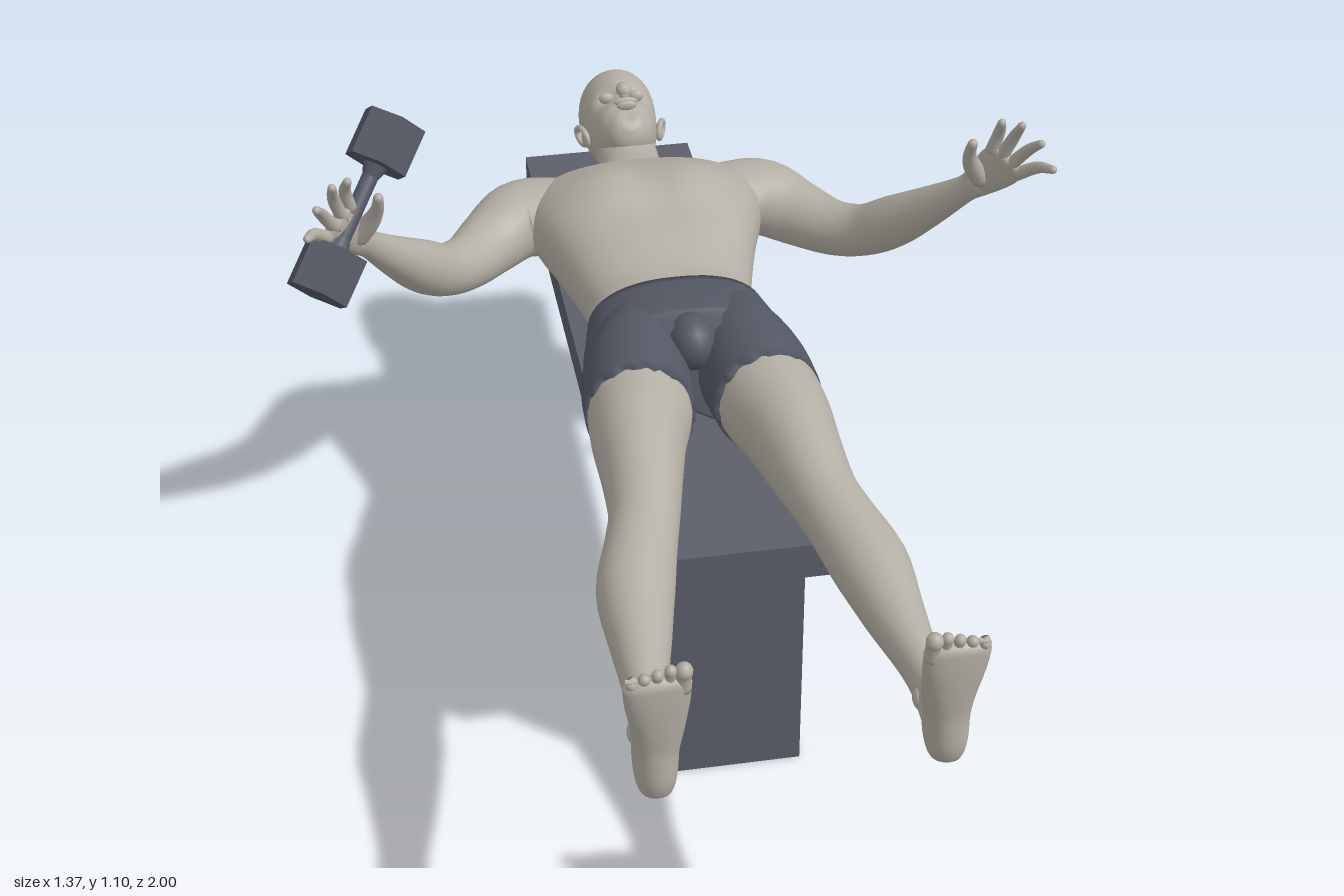
import * as THREE from 'three';

const mat = (name, color) => Object.assign(new THREE.MeshStandardMaterial({ color }), { name });
const skin = mat('skin', 0xb4afa4);
const cloth = mat('shortsCloth', 0x545864);
const slate = mat('benchSlate', 0x5c5f6a);
const V = (x, y, z) => new THREE.Vector3(x, y, z);
const bump = (dx, dy, s) => Math.exp(-(dx * dx + dy * dy) / (s * s));

function add(parent, name, geometry, material, pos = [0, 0, 0]) {
  const mesh = new THREE.Mesh(geometry, material);
  mesh.name = name;
  mesh.position.set(...pos);
  parent.add(mesh);
  return mesh;
}

// Smooth skin through stations [x, y, z, halfWidth, halfDepth], with a domed end
function loft(stations, { ref = [0, 1, 0], seg = 28, steps = 4, cap = 0, power = 1, deform } = {}) {
  const path = new THREE.CatmullRomCurve3(stations.map(s => V(s[0], s[1], s[2])), false, 'catmullrom');
  const size = new THREE.CatmullRomCurve3(stations.map(s => V(s[3], s[4] ?? s[3], 0)), false, 'catmullrom');
  const n = (stations.length - 1) * steps;
  const rings = [];
  for (let i = 0; i <= n; i++) {
    const r = size.getPoint(i / n);
    rings.push({ c: path.getPoint(i / n), t: path.getTangent(i / n), a: r.x, b: r.y });
  }
  const end = rings[n];
  if (cap) for (const f of [0.5, 1, 1.4]) {
    const c = end.c.clone().addScaledVector(end.t, cap * Math.min(end.a, end.b) * Math.sin(f));
    rings.push({ c, t: end.t, a: end.a * Math.cos(f), b: end.b * Math.cos(f) });
  }
  const pos = [], index = [];
  const put = p => { if (deform) deform(p); pos.push(p.x, p.y, p.z); };
  for (const { c, t, a, b } of rings) {
    const w = V(...ref).cross(t).normalize();
    const u = t.clone().cross(w);
    for (let j = 0; j < seg; j++) {
      const q = j / seg * Math.PI * 2, co = Math.cos(q), si = Math.sin(q);
      put(c.clone().addScaledVector(w, a * Math.sign(co) * Math.abs(co) ** power)
        .addScaledVector(u, b * Math.sign(si) * Math.abs(si) ** power));
    }
  }
  const last = rings.length - 1, first = rings.length * seg;
  put(rings[0].c.clone());
  put(rings[last].c.clone());
  for (let j = 0; j < seg; j++) {
    const k = (j + 1) % seg;
    for (let i = 0; i < last; i++) {
      const o = i * seg, p = o + seg;
      index.push(o + j, o + k, p + j, o + k, p + k, p + j);
    }
    index.push(first, k, j, first + 1, last * seg + j, last * seg + k);
  }
  const g = new THREE.BufferGeometry();
  g.setAttribute('position', new THREE.Float32BufferAttribute(pos, 3));
  g.setIndex(index);
  g.computeVertexNormals();
  return g;
}

// Station along z given as bottom and top heights
const zs = (z, x, bottom, top, a) => [x, (bottom + top) / 2, z, a, (top - bottom) / 2];

function blob(parent, name, pos, scale, material = skin) {
  add(parent, name, new THREE.SphereGeometry(1, 18, 12), material, pos).scale.set(...scale);
}

function buildHead(body) {
  add(body, 'head', loft([
    zs(-0.684, 0, 0.75, 0.772, 0.012), zs(-0.692, 0, 0.725, 0.784, 0.032), zs(-0.715, 0, 0.68, 0.788, 0.052),
    zs(-0.755, 0, 0.625, 0.792, 0.065), zs(-0.80, 0, 0.594, 0.79, 0.073), zs(-0.86, 0, 0.586, 0.788, 0.077),
    zs(-0.91, 0, 0.61, 0.765, 0.065), zs(-0.932, 0, 0.645, 0.733, 0.042), zs(-0.942, 0, 0.68, 0.70, 0.01),
  ].reverse(), {
    seg: 36, deform: p => {
      if (p.y < 0.7) return;
      const x = Math.abs(p.x);
      p.y -= 0.016 * bump(x - 0.03, p.z + 0.788, 0.02);   // eye sockets
      p.y -= 0.007 * bump(x, p.z + 0.703, 0.014);         // hollow above the chin
      p.y += 0.006 * bump(x * 0.4, p.z + 0.812, 0.014);   // brow
    },
  }), skin);
  add(body, 'nose', loft([[0, 0.785, -0.798, 0.008, 0.01], [0, 0.794, -0.775, 0.01, 0.014],
    [0, 0.803, -0.754, 0.016, 0.016], [0, 0.795, -0.744, 0.01, 0.008]], { seg: 14, cap: 0.8 }), skin);
  blob(body, 'upperLip', [0, 0.791, -0.727], [0.024, 0.01, 0.006]);
  blob(body, 'lowerLip', [0, 0.789, -0.716], [0.02, 0.01, 0.006]);
  for (const s of [1, -1]) {
    blob(body, 'eye', [s * 0.03, 0.768, -0.788], [0.015, 0.012, 0.009]);
    const ear = add(body, 'ear', new THREE.TorusGeometry(0.017, 0.006, 8, 18), skin, [s * 0.08, 0.685, -0.79]);
    ear.rotation.y = s * (Math.PI / 2 - 0.35);
    ear.scale.set(1.3, 0.95, 1);
    blob(body, 'earInner', [s * 0.076, 0.685, -0.787], [0.006, 0.014, 0.02]);
  }
}

function buildTorso(body) {
  add(body, 'neck', loft([[0, 0.675, -0.79, 0.055, 0.06], [0, 0.67, -0.73, 0.06, 0.06],
    [0, 0.66, -0.67, 0.066, 0.062], [0, 0.655, -0.60, 0.10, 0.075]]), skin);
  add(body, 'torso', loft([
    zs(-0.665, 0, 0.60, 0.715, 0.062), zs(-0.642, 0, 0.58, 0.715, 0.095), zs(-0.622, 0, 0.568, 0.72, 0.165),
    zs(-0.60, 0, 0.558, 0.73, 0.205), zs(-0.55, 0, 0.545, 0.752, 0.228), zs(-0.47, 0, 0.535, 0.772, 0.222),
    zs(-0.40, 0, 0.53, 0.768, 0.20), zs(-0.30, 0, 0.535, 0.745, 0.172), zs(-0.22, 0, 0.54, 0.73, 0.156),
    zs(-0.14, 0, 0.54, 0.735, 0.162),
  ], {
    seg: 48, power: 0.85, deform: p => {
      if (p.y < 0.65) { p.y += 0.014 * bump(p.x, (p.z + 0.42) * 0.15, 0.025); return; }
      const x = Math.abs(p.x);
      p.y += 0.016 * bump(x - 0.085, p.z + 0.47, 0.07);         // chest muscles
      p.y -= 0.007 * bump(x, (p.z + 0.45) * 0.2, 0.02);         // breastbone
      p.y -= 0.010 * bump(x * 0.3, p.z + 0.37, 0.03);           // under the chest
      p.y -= 0.010 * bump(x, p.z + 0.19, 0.012);                // navel
    },
  }), skin);
  add(body, 'shortsHips', loft([
    zs(-0.157, 0, 0.532, 0.742, 0.166), zs(-0.09, 0, 0.524, 0.75, 0.18), zs(-0.02, 0, 0.53, 0.754, 0.192),
    zs(0.025, 0, 0.56, 0.745, 0.17),
  ], {
    seg: 48, power: 0.85, deform: p => {
      if (p.y < 0.6) p.y += 0.025 * bump(p.x, (p.z - 0.01) * 0.25, 0.025);   // seat cleft
    },
  }), cloth);
  blob(body, 'shortsFront', [0, 0.705, 0.0], [0.045, 0.052, 0.055], cloth);
}

function buildLeg(body, s) {
  const leg = new THREE.Group();
  leg.name = s > 0 ? 'leftLeg' : 'rightLeg';
  body.add(leg);
  add(leg, 'shortsLeg', loft([
    zs(-0.10, s * 0.088, 0.535, 0.735, 0.07), zs(-0.03, s * 0.097, 0.526, 0.752, 0.09),
    zs(0.05, s * 0.108, 0.538, 0.755, 0.099), zs(0.135, s * 0.115, 0.548, 0.752, 0.097),
  ], {
    seg: 48, deform: p => {
      if (p.z > 0.125) p.z += 0.005 * Math.sin(p.x * 310 + p.y * 190);       // frayed hem
    },
  }), cloth);
  add(leg, 'legSkin', loft([
    zs(0.06, s * 0.108, 0.55, 0.745, 0.09), zs(0.13, s * 0.116, 0.552, 0.748, 0.093),
    zs(0.21, s * 0.13, 0.555, 0.745, 0.083), zs(0.30, s * 0.14, 0.56, 0.73, 0.071),
    zs(0.40, s * 0.153, 0.572, 0.706, 0.061), zs(0.47, s * 0.17, 0.568, 0.694, 0.061),
    zs(0.57, s * 0.196, 0.55, 0.68, 0.065), zs(0.68, s * 0.207, 0.553, 0.662, 0.052),
    zs(0.80, s * 0.218, 0.566, 0.648, 0.036), zs(0.87, s * 0.224, 0.567, 0.648, 0.033),
    zs(0.935, s * 0.226, 0.56, 0.66, 0.035),
  ], { seg: 32 }), skin);
  add(leg, 'foot', loft([
    [s * 0.228, 0.532, 0.952, 0.01, 0.012], [s * 0.228, 0.542, 0.95, 0.026, 0.033],
    [s * 0.228, 0.575, 0.946, 0.034, 0.045], [s * 0.227, 0.63, 0.943, 0.037, 0.047],
    [s * 0.226, 0.68, 0.957, 0.043, 0.036], [s * 0.228, 0.73, 0.97, 0.05, 0.025],
    [s * 0.229, 0.77, 0.977, 0.053, 0.017],
  ], { ref: [0, 0, 1], cap: 0.9, power: 0.9 }), skin);
  for (let i = 0; i < 5; i++) {
    const x = s * (0.19 + i * 0.0198), r = i ? 0.0095 : 0.014, y = i ? 0.816 - i * 0.006 : 0.812;
    add(leg, 'toe', loft([[x, 0.755, 0.976, r * 0.9], [x, 0.785, 0.98, r * 0.9], [x, y - r, 0.984, r]],
      { ref: [0, 0, 1], seg: 12, cap: 1 }), skin);
  }
  for (const k of [-1, 1]) blob(leg, 'ankleBone', [s * (0.225 + k * 0.028), 0.61, 0.90], [0.011, 0.017, 0.02]);
}

function buildArm(body, s) {
  const arm = new THREE.Group();
  arm.name = s > 0 ? 'leftArm' : 'rightArm';
  body.add(arm);
  const flip = list => list.map(([x, ...rest]) => [s * x, ...rest]);
  const ref = [-0.65 * s, -0.14, 0.75];
  add(arm, 'armSkin', loft(flip([
    [0.13, 0.655, -0.545, 0.062, 0.075], [0.19, 0.655, -0.55, 0.07, 0.08], [0.245, 0.65, -0.548, 0.073, 0.078],
    [0.30, 0.637, -0.505, 0.064, 0.066], [0.355, 0.64, -0.435, 0.054], [0.405, 0.663, -0.378, 0.05],
    [0.45, 0.71, -0.325, 0.05, 0.048], [0.50, 0.775, -0.263, 0.038], [0.545, 0.84, -0.205, 0.026, 0.023],
    [0.568, 0.872, -0.18, 0.026, 0.02],
  ]), { ref, cap: 0.5 }), skin);
  add(arm, 'palm', loft(flip([
    [0.552, 0.848, -0.197, 0.024, 0.02], [0.574, 0.882, -0.173, 0.034, 0.018],
    [0.592, 0.915, -0.15, 0.042, 0.016], [0.604, 0.94, -0.133, 0.04, 0.012],
  ]), { ref, cap: 0.8 }), skin);
  const tips = [[0.582, 1.028, -0.115], [0.61, 1.036, -0.085], [0.64, 1.01, -0.06], [0.66, 0.965, -0.043]];
  tips.forEach((tip, i) => {
    const k = (i - 1.5) * 0.021;
    const base = [0.6 + 0.67 * k, 0.932 - 0.57 * k, -0.138 + 0.48 * k];
    const mid = base.map((v, j) => (v + tip[j]) / 2 + [0.006, 0.005, -0.006][j]);
    add(arm, 'finger', loft(flip([[...base, 0.0125], [...mid, 0.011], [...tip, 0.0075]]),
      { ref, seg: 12, steps: 5, cap: 1 }), skin);
  });
  add(arm, 'thumb', loft(flip([[0.568, 0.882, -0.172, 0.02], [0.546, 0.918, -0.156, 0.017],
    [0.533, 0.955, -0.137, 0.012], [0.531, 0.99, -0.115, 0.009]]), { ref, seg: 12, cap: 1 }), skin);
}

// Hexagonal weights on a bar, tilted into the right hand
function buildDumbbell(root) {
  const bell = new THREE.Group();
  bell.name = 'dumbbell';
  root.add(bell);
  bell.position.set(-0.548, 0.945, -0.165);
  bell.quaternion.setFromUnitVectors(V(0, 1, 0), V(0.125, 0.168, -0.14).normalize());
  add(bell, 'handle', new THREE.CylinderGeometry(0.015, 0.015, 0.2, 16), cloth);
  for (const s of [1, -1]) {
    const hex = new THREE.CylinderGeometry(0.06, 0.06, 0.088, 6).toNonIndexed();
    hex.computeVertexNormals();
    add(bell, 'weight', hex, cloth, [0, s * 0.126, 0]);
    add(bell, 'collar', new THREE.CylinderGeometry(s > 0 ? 0.024 : 0.015, s > 0 ? 0.015 : 0.024, 0.025, 16),
      cloth, [0, s * 0.072, 0]);
  }
}

function buildBench(root) {
  const bench = new THREE.Group();
  bench.name = 'bench';
  root.add(bench);
  const box = (name, w, h, d, x, y, z) => add(bench, name, new THREE.BoxGeometry(w, h, d), slate, [x, y, z]);
  box('benchTop', 0.345, 0.07, 1.39, 0.02, 0.49, -0.305);
  box('frontPanelLeg', 0.278, 0.455, 0.055, 0.02, 0.2275, 0.323);
  box('middlePanelLeg', 0.278, 0.455, 0.055, 0.02, 0.2275, -0.003);
  box('rearPostLeg', 0.055, 0.455, 0.055, 0.025, 0.2275, -0.905);
}

export function createModel() {
  const root = new THREE.Group();
  root.name = 'lyingFigureOnBench';
  buildBench(root);
  const body = new THREE.Group();
  body.name = 'figure';
  body.position.x = 0.02;
  root.add(body);
  buildHead(body);
  buildTorso(body);
  for (const s of [1, -1]) {
    buildLeg(body, s);
    buildArm(body, s);
  }
  buildDumbbell(root);
  return root;
}
